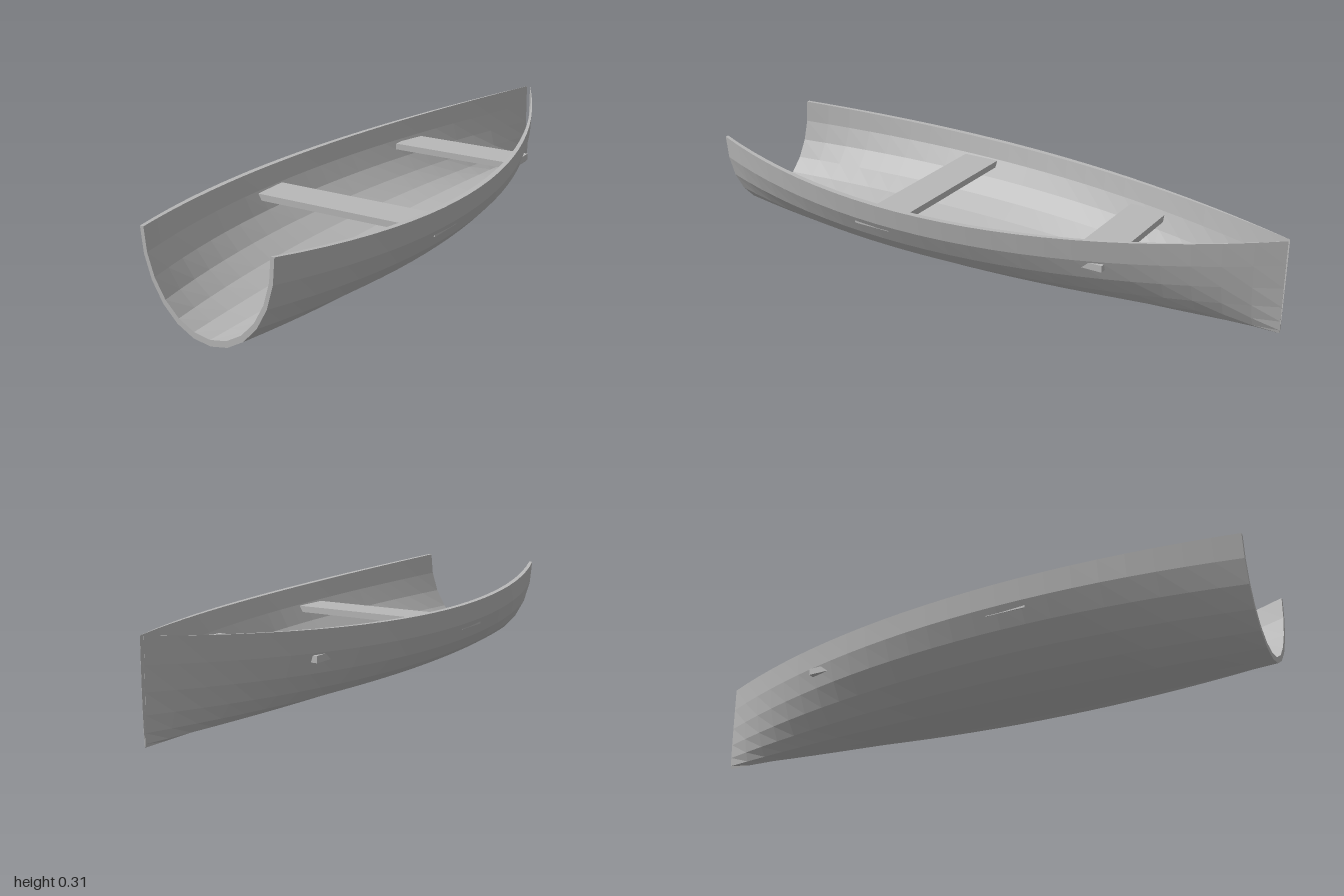
import * as THREE from 'three';

const STATIONS = 24; // cross-sections along the length
const SIDES = 12;    // facets across the half-ellipse section

const halfWidth = z => 0.3465 + 0.1115 * z - 0.228 * z * z;
const sheer = z => 0.266 + 0.048 * z * z;

// Closed section loop: outer skin left to right, then inner skin back again
function section(z) {
  const w = halfWidth(z), top = sheer(z), keel = 0.003 * z * z;
  const outer = [], inner = [];
  for (let i = 0; i <= SIDES; i++) {
    const a = (i / SIDES - 0.5) * Math.PI;
    const s = Math.sin(a), c = Math.cos(a);
    outer.push([w * s, top - (top - keel) * c, z]);
    inner.push([w * 0.945 * s, top - (top - keel - 0.02) * c, z]);
  }
  return outer.concat(inner.reverse());
}

function hullGeometry() {
  const n = 2 * (SIDES + 1), positions = [], index = [];
  for (let k = 0; k <= STATIONS; k++) {
    for (const p of section(-1 + 2 * k / STATIONS)) positions.push(...p);
  }
  const quad = (a, b, c, d) => index.push(a, b, c, a, c, d);
  // Skins and gunwale
  for (let k = 0; k < STATIONS; k++) {
    for (let i = 0; i < n; i++) {
      const j = (i + 1) % n;
      quad(k * n + i, k * n + j, (k + 1) * n + j, (k + 1) * n + i);
    }
  }
  // Edge strips closing the wall thickness at both ends
  const f = STATIONS * n;
  for (let i = 0; i < SIDES; i++) {
    quad(f + i, f + i + 1, f + n - 2 - i, f + n - 1 - i);
    quad(n - 1 - i, n - 2 - i, i + 1, i);
  }
  const g = new THREE.BufferGeometry();
  g.setAttribute('position', new THREE.Float32BufferAttribute(positions, 3));
  g.setIndex(index);
  const flat = g.toNonIndexed();
  flat.computeVertexNormals();
  return flat;
}

export function createModel() {
  const group = new THREE.Group();
  group.name = 'rowingBoat';
  const grey = new THREE.MeshStandardMaterial({ color: 0xb8b8b8 });
  grey.name = 'grey';
  grey.flatShading = true;

  const hull = new THREE.Mesh(hullGeometry(), grey);
  hull.name = 'hull';
  group.add(hull);

  // Bench planks, ends running just through the hull sides
  const bench = (name, width, z) => {
    const mesh = new THREE.Mesh(new THREE.BoxGeometry(width, 0.022, 0.135), grey);
    mesh.name = name;
    mesh.position.set(0, 0.189, z);
    group.add(mesh);
  };
  bench('frontBench', 0.674, 0.278);
  bench('rearBench', 0.47, -0.442);

  return group;
}
